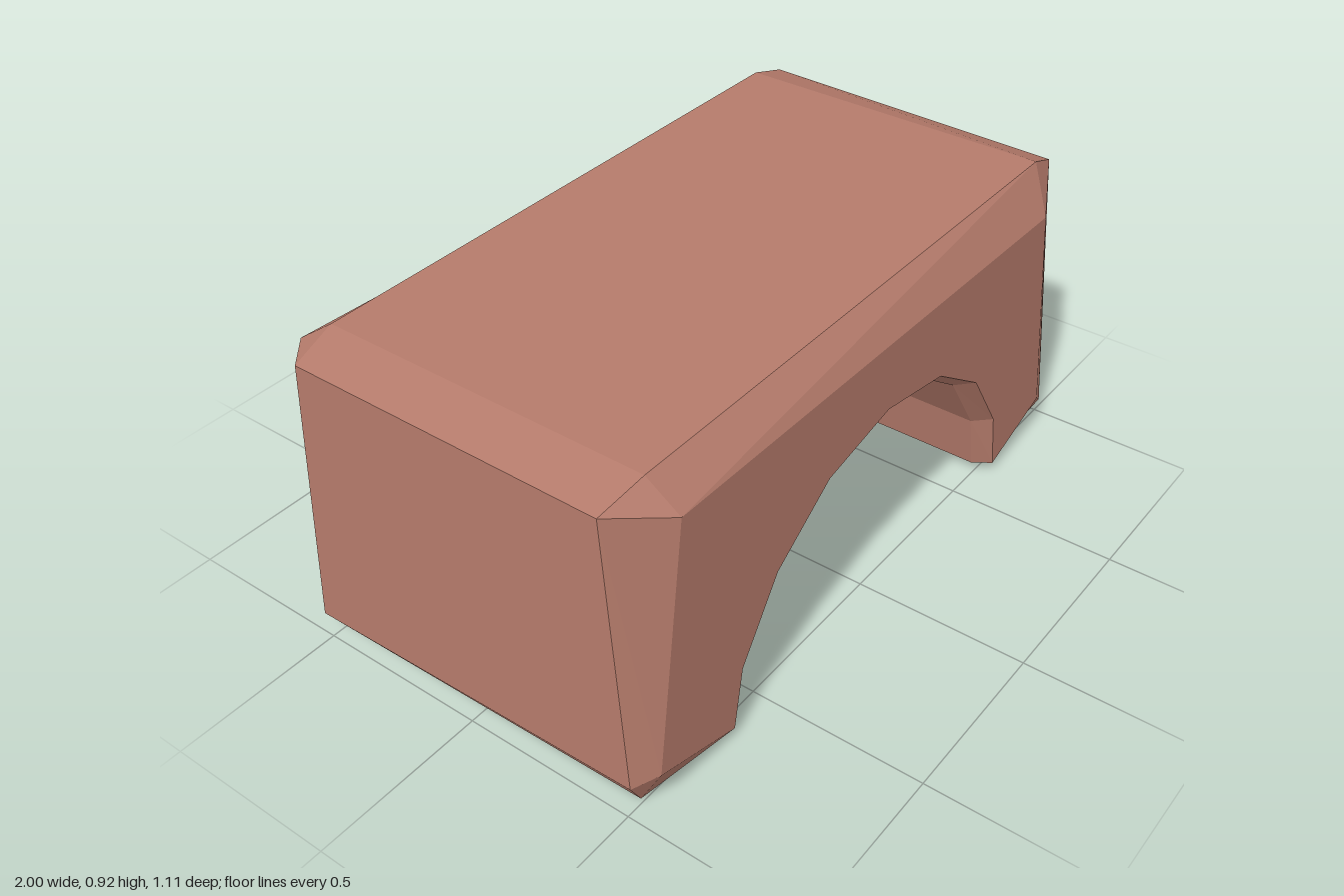
import * as THREE from 'three';

// Half arch outlines, from foot to crown: inner barrel and wider chamfered rim
const BARREL = [[0.62, 0.025], [0.585, 0.2], [0.45, 0.405], [0.25, 0.545], [0, 0.59]];
const RIM = [[0.65, 0.03], [0.62, 0.21], [0.48, 0.42], [0.265, 0.565], [0, 0.615]];

// Full arch running from -x to +x, with z given by a rule on x
function arch(half, zAt) {
  const left = half.map(([x, y]) => [-x, y]);
  const right = half.slice(0, -1).reverse();
  return [...left, ...right].map(([x, y]) => [x, y, zAt(x)]);
}

// Cap outline: one point per corner, doubled to match the wall loop's chamfers
function capLoop(lowL, lowR, topR, topL, zAt) {
  const at = ([x, y]) => [x, y, zAt(x)];
  const rim = arch(RIM, zAt);
  return [at(lowL), at(lowL), rim[0], ...rim, rim[rim.length - 1],
    at(lowR), at(lowR), at(topR), at(topR), at(topL), at(topL)];
}

// Wall outline: chamfered ends, feet, barrel and top
function wallLoop(endLowL, endLowR, endTopR, endTopL, zFoot, zTop) {
  return [[-1, ...endLowL], [-0.94, 0, zFoot], [-0.67, 0, zFoot],
    ...arch(BARREL, () => zFoot),
    [0.67, 0, zFoot], [0.94, 0, zFoot], [1, ...endLowR], [1, ...endTopR],
    [0.86, 0.917, zTop], [-0.86, 0.917, zTop], [-1, ...endTopL]];
}

export function createModel() {
  const group = new THREE.Group();
  const clay = new THREE.MeshStandardMaterial({ color: 0xb57b6b });
  clay.name = 'clay';

  const loops = [
    capLoop([-0.94, 0.125], [0.91, 0.115], [0.8, 0.795], [-0.85, 0.84], x => 0.548 - 0.007 * x),
    wallLoop([0.1, 0.51], [0.045, 0.51], [0.857, 0.44], [0.885, 0.45], 0.49, 0.465),
    wallLoop([0.07, -0.52], [0.117, -0.415], [0.872, -0.495], [0.885, -0.46], -0.495, -0.485),
    capLoop([-0.94, 0.04], [0.92, 0.065], [0.88, 0.8], [-0.9, 0.87], () => -0.555),
  ];

  const positions = [];
  const same = (p, q) => p.every((v, i) => Math.abs(v - q[i]) < 1e-6);
  const tri = (a, b, c) => {
    if (!same(a, b) && !same(b, c) && !same(c, a)) positions.push(...a, ...b, ...c);
  };

  // Chamfers and walls between neighbouring loops
  for (let k = 0; k < loops.length - 1; k++) {
    const front = loops[k], back = loops[k + 1], n = front.length;
    for (let i = 0; i < n; i++) {
      const j = (i + 1) % n;
      tri(back[i], back[j], front[j]);
      tri(back[i], front[j], front[i]);
    }
  }

  // Front and back faces
  for (const [loop, flip] of [[loops[0], false], [loops[3], true]]) {
    const points = loop.filter((p, i) => !same(p, loop[(i + 1) % loop.length]));
    const contour = points.map(([x, y]) => new THREE.Vector2(x, y));
    for (const [a, b, c] of THREE.ShapeUtils.triangulateShape(contour, [])) {
      if (flip) tri(points[a], points[c], points[b]);
      else tri(points[a], points[b], points[c]);
    }
  }

  // Unshared corners give faceted normals
  const geometry = new THREE.BufferGeometry();
  geometry.setAttribute('position', new THREE.Float32BufferAttribute(positions, 3));
  geometry.computeVertexNormals();

  const block = new THREE.Mesh(geometry, clay);
  block.name = 'archBlock';
  group.add(block);
  return group;
}
